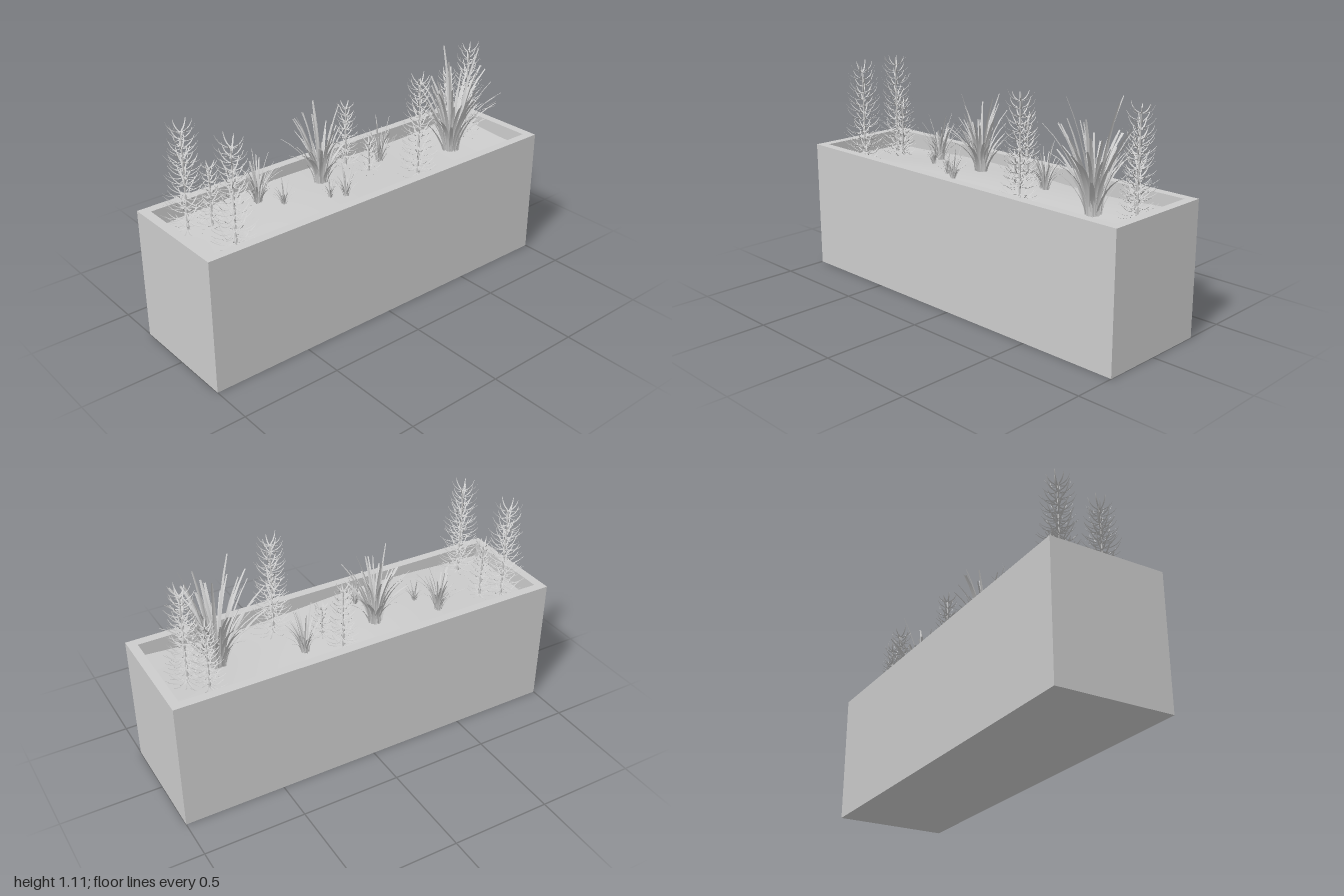
import * as THREE from 'three';
import { mergeGeometries } from 'three/addons/utils/BufferGeometryUtils.js';

const L = 1, W = 0.29, H = 0.66, WALL = 0.045;

function seeded(seed) {
  let s = seed * 7919 + 17;
  return () => {
    s = (s * 16807) % 2147483647;
    return s / 2147483647;
  };
}

// gentle undulation of the soil
const soilY = (x, z) => 0.595 + 0.015 * Math.sin(x * 4.2 + 2.6) + 0.008 * Math.cos(z * 9 + x * 2);

// Folded leaf that starts at `base`, heads towards azimuth `az`,
// and bends from angle a0 to a1 (measured from vertical) along its length.
function leaf(base, az, length, width, a0, a1, steps = 6, fold = 0.25) {
  const pos = [], index = [];
  const dx = Math.cos(az), dz = Math.sin(az);
  let r = 0, y = 0;
  for (let i = 0; i <= steps; i++) {
    const t = i / steps;
    const a = a0 + (a1 - a0) * t;
    const w = width * 0.5 * (0.75 + 0.6 * t - 1.0 * t * t);
    const cx = base.x + dx * r, cy = base.y + y, cz = base.z + dz * r;
    // left edge, sunken midrib, right edge
    for (const k of [-1, 0, 1]) {
      const dip = k === 0 ? -w * fold * 2 : 0;
      pos.push(
        cx - dz * w * k - dx * Math.cos(a) * dip * -1,
        cy + Math.sin(a) * dip,
        cz + dx * w * k - dz * Math.cos(a) * dip * -1
      );
    }
    if (i < steps) {
      const b = i * 3;
      for (const j of [b, b + 1]) index.push(j, j + 1, j + 3, j + 1, j + 4, j + 3);
    }
    r += Math.sin(a) * length / steps;
    y += Math.cos(a) * length / steps;
  }
  const g = new THREE.BufferGeometry();
  g.setAttribute('position', new THREE.Float32BufferAttribute(pos, 3));
  g.setIndex(index);
  g.computeVertexNormals();
  return g;
}

// Tuft of arching blades: the inner ones upright, the outer ones leaning
function grassTuft({ x, z, top, reach, count, width, seed }) {
  const rnd = seeded(seed);
  const y = soilY(x, z) - 0.01;
  const height = top - y;
  const blades = [];
  for (let i = 0; i < count; i++) {
    const u = (i + 0.5) / count;
    const az = i * 2.39996 + rnd() * 0.5;
    const core = 0.12 * reach * (0.3 + rnd());
    const base = new THREE.Vector3(x + Math.cos(az) * core, y, z + Math.sin(az) * core);
    const a0 = 0.03 + 0.4 * u * rnd();
    const a1 = 0.3 + 0.95 * u + 0.15 * rnd();
    const size = i < 3 ? 1.04 : 0.5 + 0.42 * rnd();
    // keep each blade inside the tuft's reach
    const spread = Math.sin((a0 + a1) / 2);
    const length = Math.min(height * size, (reach - core) / spread);
    blades.push(leaf(base, az, length, width * (0.4 + 0.6 * rnd()), a0, a1));
  }
  return mergeGeometries(blades);
}

// Slim upright plant: a stem with whorls of upturned needles
function needlePlant({ x, z, top, radius, seed }) {
  const rnd = seeded(seed);
  const y = soilY(x, z) - 0.01;
  const tip = radius * 0.55;
  const stemH = top - y - tip;
  const stem = new THREE.CylinderGeometry(0.003, 0.006, stemH, 6).translate(x, y + stemH / 2, z);
  stem.deleteAttribute('uv');
  const parts = [stem];
  const whorls = Math.max(5, Math.round(stemH / 0.034));
  for (let i = 0; i < whorls; i++) {
    const t = i / (whorls - 1);
    const n = t > 0.8 ? 8 : 11;
    const len = radius * (1.3 - 0.35 * t);
    for (let k = 0; k < n; k++) {
      const az = (k / n) * Math.PI * 2 + i * 0.9 + rnd() * 0.3;
      const base = new THREE.Vector3(x, y + 0.02 + (stemH - 0.02) * t + (t < 1 ? (rnd() - 0.5) * 0.016 : 0), z);
      const a0 = 1.85 - 0.25 * t + (rnd() - 0.5) * 0.3;
      const a1 = 0.75 - 0.65 * t + (rnd() - 0.5) * 0.4;
      parts.push(leaf(base, az, len * (0.8 + 0.25 * rnd()), 0.008, a0, Math.max(a1, 0), 5));
    }
  }
  return mergeGeometries(parts);
}

function rectangle(PathType, a, b) {
  const p = new PathType();
  p.moveTo(-a, -b);
  p.lineTo(a, -b);
  p.lineTo(a, b);
  p.lineTo(-a, b);
  p.closePath();
  return p;
}

export function createModel() {
  const group = new THREE.Group();
  group.name = 'planter';
  const solid = new THREE.MeshStandardMaterial({ color: 0xcccccc });
  const thin = new THREE.MeshStandardMaterial({ color: 0xcccccc, side: THREE.DoubleSide });
  const add = (name, geometry, material) => {
    const mesh = new THREE.Mesh(geometry, material);
    mesh.name = name;
    group.add(mesh);
  };

  // trough walls and floor
  const wall = rectangle(THREE.Shape, L, W);
  wall.holes.push(rectangle(THREE.Path, L - WALL, W - WALL));
  add('troughWalls', new THREE.ExtrudeGeometry(wall, { depth: H, bevelEnabled: false }).rotateX(-Math.PI / 2), solid);
  add('troughFloor', new THREE.BoxGeometry(2 * (L - WALL), WALL, 2 * (W - WALL)).translate(0, WALL / 2, 0), solid);

  // soil bed
  const soil = new THREE.PlaneGeometry(2 * (L - WALL), 2 * (W - WALL), 40, 12).rotateX(-Math.PI / 2);
  const p = soil.attributes.position;
  for (let i = 0; i < p.count; i++) p.setY(i, soilY(p.getX(i), p.getZ(i)));
  soil.computeVertexNormals();
  add('soil', soil, thin);

  // needle plants: x, z, top, radius
  [
    [-0.84, -0.13, 1.105, 0.095],
    [-0.74, -0.085, 0.9, 0.06],
    [-0.77, 0.15, 1.11, 0.095],
    [0.32, 0.13, 1.11, 0.09],
    [0.84, -0.06, 1.1, 0.085],
    [0.77, -0.14, 0.95, 0.07],
    [0.1, -0.16, 0.94, 0.065],
    [0.14, -0.03, 0.78, 0.055],
  ].forEach(([x, z, top, radius], i) =>
    add('needlePlant', needlePlant({ x, z, top, radius, seed: i + 1 }), thin));

  // grass tufts: x, z, top, reach, blade count, blade width
  [
    [0.66, 0.02, 1.1, 0.27, 60, 0.03],
    [-0.13, -0.07, 0.99, 0.21, 54, 0.024],
    [-0.47, -0.11, 0.84, 0.14, 44, 0.013],
    [0.27, -0.1, 0.82, 0.13, 40, 0.012],
    [-0.4, 0, 0.73, 0.065, 26, 0.009],
    [-0.2, 0.09, 0.72, 0.055, 20, 0.008],
    [-0.13, 0.12, 0.76, 0.085, 28, 0.009],
  ].forEach(([x, z, top, reach, count, width], i) =>
    add('grassTuft', grassTuft({ x, z, top, reach, count, width, seed: i + 21 }), thin));

  return group;
}
